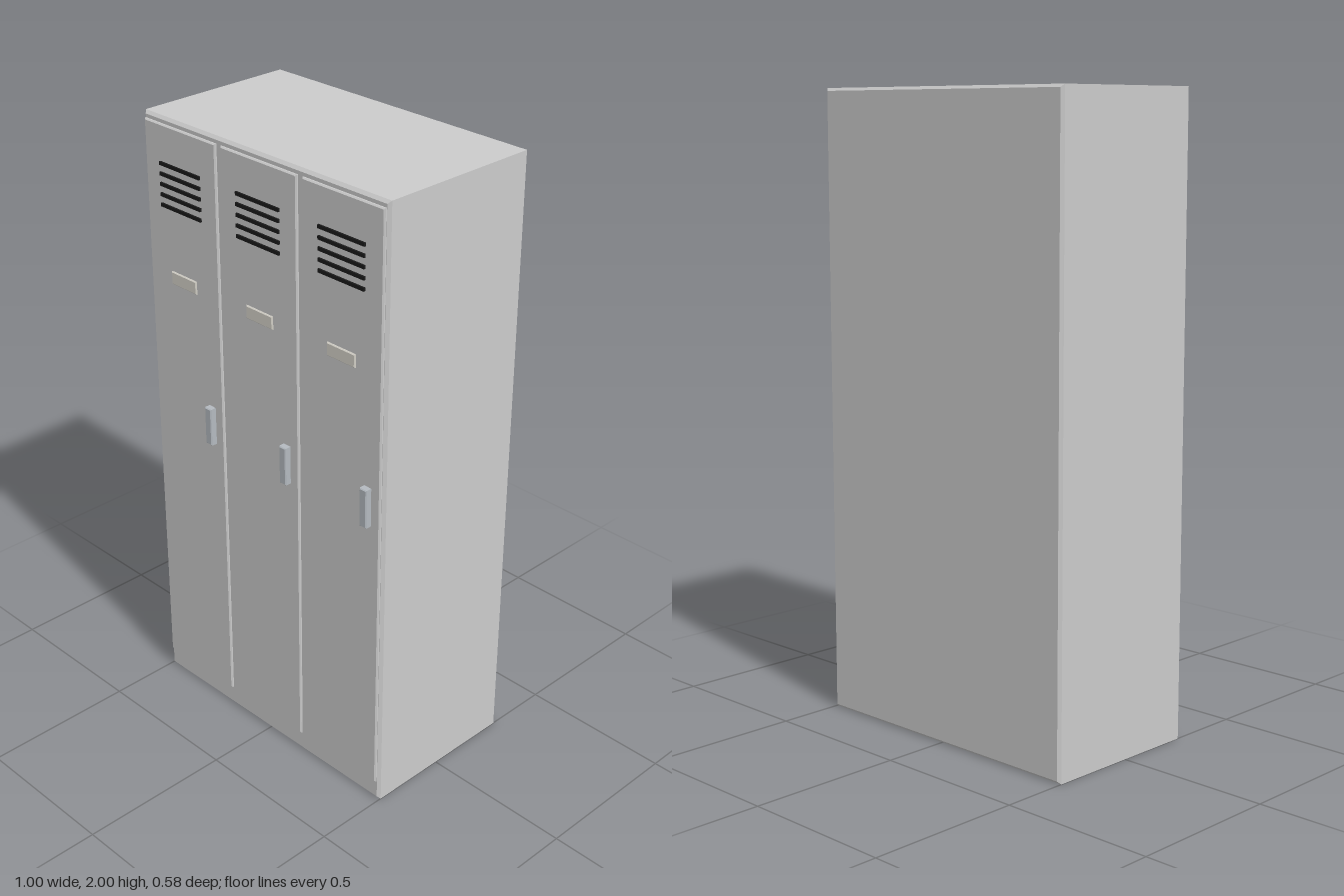
import * as THREE from 'three';

const grey = new THREE.MeshStandardMaterial({ color: 0xcccccc });
const dark = new THREE.MeshStandardMaterial({ color: 0x1a1a1a });
const steel = new THREE.MeshStandardMaterial({ color: 0xb4bac0 });
const cream = new THREE.MeshStandardMaterial({ color: 0xd6d3ca });

// Box with one flat chamfer of width c on every edge, centred on the origin
function chamferBox(w, h, d, c) {
  const x = w / 2 - c, y = h / 2 - c;
  const shape = new THREE.Shape([
    new THREE.Vector2(-x, -y), new THREE.Vector2(x, -y),
    new THREE.Vector2(x, y), new THREE.Vector2(-x, y),
  ]);
  const geometry = new THREE.ExtrudeGeometry(shape, {
    depth: d - 2 * c, bevelEnabled: true, bevelThickness: c, bevelSize: c, bevelSegments: 1,
  });
  return geometry.translate(0, 0, c - d / 2);
}

function addPart(parent, name, geometry, material, x, y, z) {
  const mesh = new THREE.Mesh(geometry, material);
  mesh.name = name;
  mesh.position.set(x, y, z);
  parent.add(mesh);
}

export function createModel() {
  const locker = new THREE.Group();
  locker.name = 'locker';

  // Cabinet carcass
  addPart(locker, 'cabinet', chamferBox(1, 2, 0.554, 0.009), grey, 0, 1, -0.015);

  // Shared door parts
  const panel = chamferBox(0.312, 1.91, 0.018, 0.004);
  const slot = new THREE.BoxGeometry(0.178, 0.011, 0.008);
  const plate = chamferBox(0.112, 0.042, 0.008, 0.003);
  const handle = chamferBox(0.028, 0.126, 0.024, 0.003);

  for (const [i, x] of [-0.334, 0, 0.334].entries()) {
    const door = new THREE.Group();
    door.name = `door${i + 1}`;
    door.position.x = x;
    addPart(door, 'doorPanel', panel, grey, 0, 1.025, 0.261);
    // Vent slots
    for (let s = 0; s < 5; s++) {
      addPart(door, 'ventSlot', slot, dark, 0, 1.73 + s * 0.0325, 0.272);
    }
    addPart(door, 'labelPlate', plate, cream, 0, 1.503, 0.271);
    addPart(door, 'handle', handle, steel, 0.109, 1.06, 0.28);
    locker.add(door);
  }
  return locker;
}
